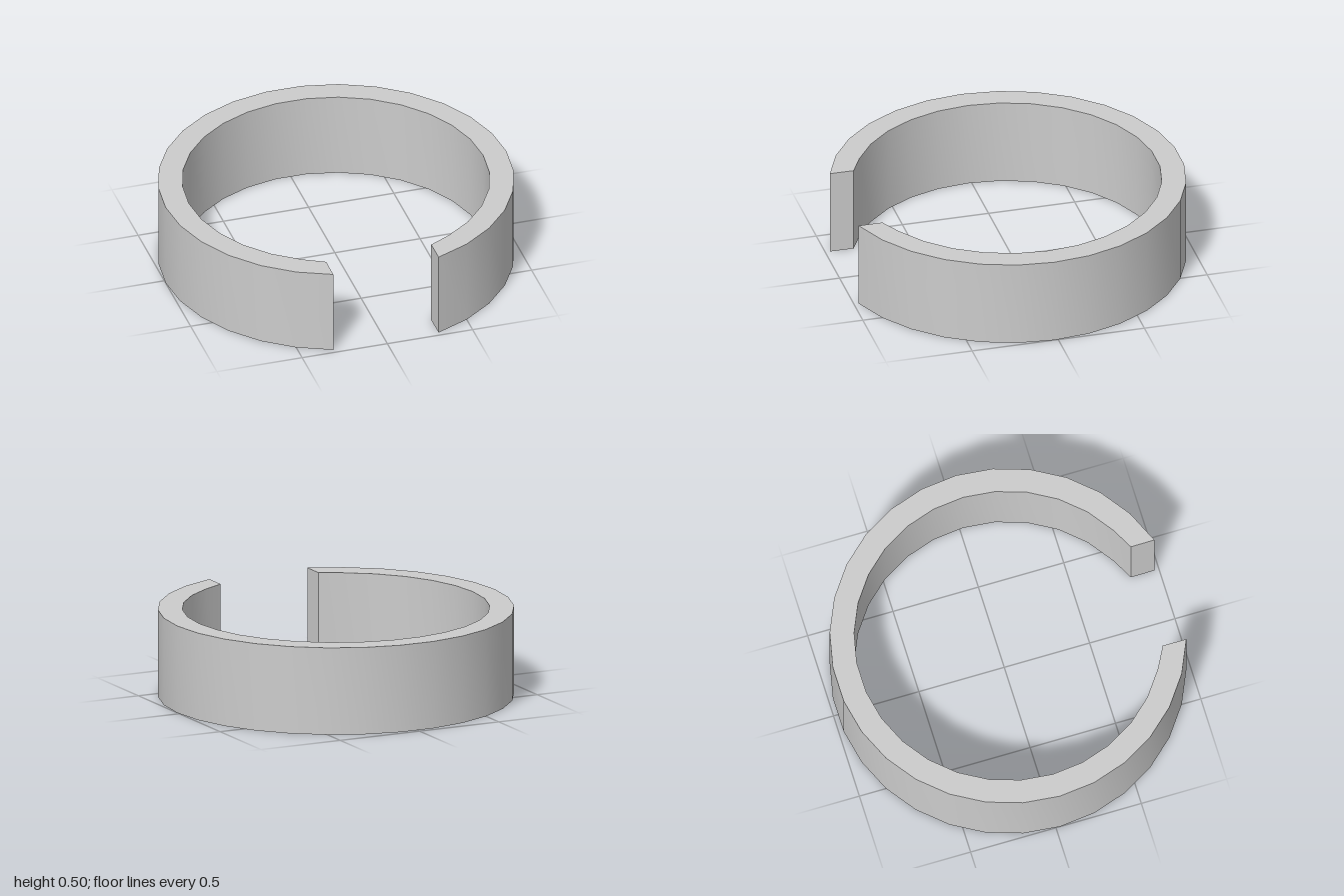
import * as THREE from 'three';
import { toCreasedNormals } from 'three/addons/utils/BufferGeometryUtils.js';

const HEIGHT = 0.5, OUTER = 1, INNER = 0.863, CENTRE_Z = 0.022;
const STEP = Math.PI / 15; // 30-sided ring with two sides left open at the front

// Points of an arc, symmetric about x = 0, starting on the right side of the gap
function arc(radius) {
  const points = [];
  for (let i = -13.5; i <= 13.5; i++) {
    const a = i * STEP;
    points.push(new THREE.Vector2(radius * Math.sin(a), CENTRE_Z - radius * Math.cos(a)));
  }
  return points;
}

export function createModel() {
  const group = new THREE.Group();
  group.name = 'openRing';

  // Inner wall ends are trimmed so both end faces are parallel
  const outer = arc(OUTER), inner = arc(INNER);
  inner[0].set(-0.308, 0.835);
  inner[inner.length - 1].set(0.308, 0.835);

  // C-shaped outline raised to a band
  const shape = new THREE.Shape([...outer, ...inner.reverse()]);
  let geometry = new THREE.ExtrudeGeometry(shape, { depth: HEIGHT, bevelEnabled: false });
  geometry.rotateX(Math.PI / 2).translate(0, HEIGHT, 0);
  geometry = toCreasedNormals(geometry, Math.PI / 6);

  const band = new THREE.Mesh(geometry, new THREE.MeshStandardMaterial({ color: 0xcccccc }));
  band.name = 'band';
  group.add(band);
  return group;
}
